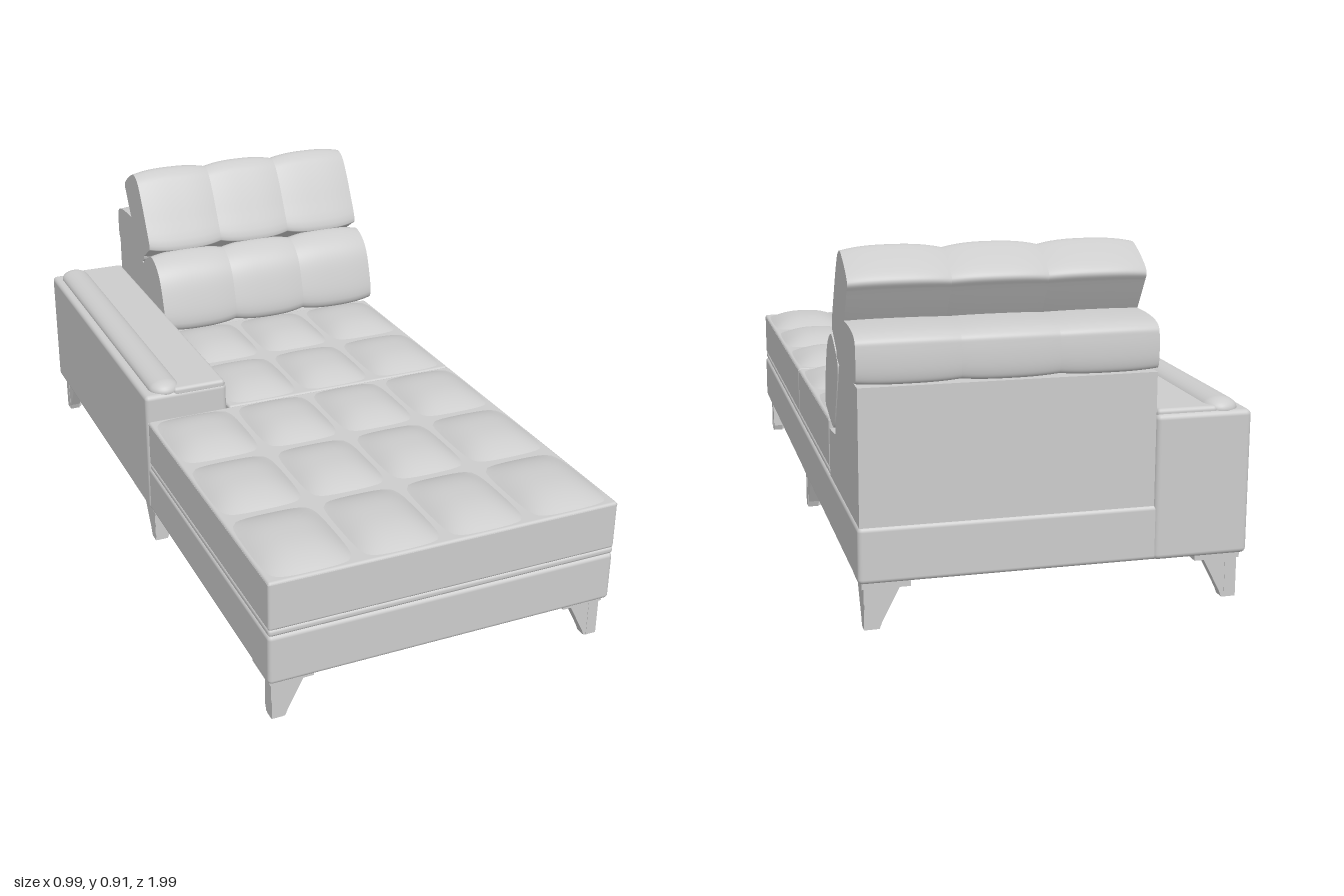
import * as THREE from 'three';
import { RoundedBoxGeometry } from 'three/addons/geometries/RoundedBoxGeometry.js';

const upholstery = new THREE.MeshStandardMaterial({ color: 0xcccccc });
upholstery.name = 'light grey';

const puff = (t) => 1 - Math.abs(2 * t - 1) ** 2.6;

function add(parent, name, geometry) {
  const mesh = new THREE.Mesh(geometry, upholstery);
  mesh.name = name;
  parent.add(mesh);
  return mesh;
}

function group(parent, name) {
  const g = new THREE.Group();
  g.name = name;
  parent.add(g);
  return g;
}

// Rounded box given by its limits on each axis
function block(parent, name, [x0, x1], [y0, y1], [z0, z1], radius = 0.012) {
  const g = new RoundedBoxGeometry(x1 - x0, y1 - y0, z1 - z0, 3, radius);
  g.translate((x0 + x1) / 2, (y0 + y1) / 2, (z0 + z1) / 2);
  return add(parent, name, g);
}

// Puffed top of one stitched square
function tuft(parent, x0, x1, z0, z1) {
  const g = new THREE.PlaneGeometry(x1 - x0, z1 - z0, 16, 16).rotateX(-Math.PI / 2);
  const p = g.attributes.position;
  for (let i = 0; i < p.count; i++) {
    const u = p.getX(i) / (x1 - x0) + 0.5, v = p.getZ(i) / (z1 - z0) + 0.5;
    p.setY(i, 0.412 + 0.038 * puff(u) * puff(v));
  }
  g.translate((x0 + x1) / 2, 0, (z0 + z1) / 2);
  g.computeVertexNormals();
  add(parent, 'seatTuft', g);
}

// Cushion section lofted along x; profile is [z, y], front upwards then back
function cushionSection(profile, x0, x1, squeeze) {
  const curve = new THREE.CatmullRomCurve3(
    profile.map(([z, y]) => new THREE.Vector3(0, y, z)), true, 'centripetal');
  const ring = curve.getPoints(64).slice(0, 64), n = ring.length, steps = 16;
  const c = ring.reduce((s, p) => s.add(p), new THREE.Vector3()).divideScalar(n);
  const pos = [], idx = [];
  const pushRing = (t) => {
    const k = 1 - squeeze * (1 - puff(t));
    for (const p of ring) pos.push(x0 + (x1 - x0) * t, c.y + (p.y - c.y) * k, c.z + (p.z - c.z) * k);
  };
  for (let i = 0; i <= steps; i++) pushRing((1 - Math.cos(Math.PI * i / steps)) / 2);
  for (let i = 0; i < steps; i++) for (let j = 0; j < n; j++) {
    const a = i * n + j, b = i * n + (j + 1) % n;
    idx.push(a, a + n, b, b, a + n, b + n);
  }
  // end caps
  for (const t of [0, 1]) {
    const start = pos.length / 3;
    pushRing(t);
    pos.push(x0 + (x1 - x0) * t, c.y, c.z);
    for (let j = 0; j < n; j++) {
      const a = start + j, b = start + (j + 1) % n;
      idx.push(start + n, t ? b : a, t ? a : b);
    }
  }
  const g = new THREE.BufferGeometry();
  g.setAttribute('position', new THREE.Float32BufferAttribute(pos, 3));
  g.setIndex(idx);
  g.computeVertexNormals();
  return g;
}

function cushion(parent, name, profile, squeeze) {
  const g = group(parent, name), xs = [-0.252, -0.002, 0.24, 0.493];
  for (let i = 0; i < 3; i++) add(g, name + 'Section', cushionSection(profile, xs[i], xs[i + 1], squeeze));
}

// Extruded outline; alongZ turns the outline into the z-y plane
function slab(points, depth, alongZ) {
  const shape = new THREE.Shape(points.map(([a, b]) => new THREE.Vector2(a, b)));
  const g = new THREE.ExtrudeGeometry(shape, { depth, bevelEnabled: false });
  g.translate(0, 0, -depth / 2);
  return alongZ ? g.rotateY(-Math.PI / 2) : g;
}

// Tapered corner leg: two crossed blades under a mounting plate
function leg(parent, sx, z, sz, reach) {
  const g = group(parent, 'leg');
  const blade = (s, top) => [[0, 0], [-s * 0.038, 0], [-s * 0.045, 0.018], [-s * top, 0.106], [0, 0.106]];
  add(g, 'legSideBlade', slab(blade(sx, 0.09), 0.03, false)).position.set(sx * 0.48, 0, z - sz * 0.016);
  add(g, 'legLongBlade', slab(blade(sz, reach), 0.03, true)).position.set(sx * 0.464, 0, z);
  const plate = new THREE.BoxGeometry(0.12, 0.018, 0.115);
  add(g, 'legPlate', plate).position.set(sx * 0.425, 0.113, z - sz * 0.055);
}

export function createModel() {
  const model = new THREE.Group();
  model.name = 'chaiseLounge';

  // Base frame
  block(model, 'base', [-0.495, 0.495], [0.12, 0.262], [-0.99, 0.997], 0.012);

  // Seat: wide front part and narrower part beside the armrest
  const seat = group(model, 'seat');
  const columns = [-0.495, -0.242, 0, 0.24, 0.493];
  const parts = [[0, [0.07, 0.375, 0.68, 0.998]], [1, [-0.54, -0.235, 0.07]]];
  for (const [first, rows] of parts) {
    const xr = [columns[first], 0.493], zr = [rows[0], rows[rows.length - 1]];
    block(seat, 'seatWelt', xr, [0.262, 0.283], zr, 0.009);
    block(seat, 'seatBody', xr, [0.28, 0.418], zr, 0.008);
    for (let i = first; i < 4; i++)
      for (let j = 0; j < rows.length - 1; j++) tuft(seat, columns[i], columns[i + 1], rows[j], rows[j + 1]);
  }

  // Backrest frame with sloping front
  const frame = [[-0.54, 0.262], [-0.54, 0.39], [-0.64, 0.4], [-0.73, 0.602], [-0.99, 0.602], [-0.99, 0.262]];
  add(model, 'backFrame', slab(frame, 0.738, true)).position.x = 0.122;

  // Padded cap on the frame, lower back cushion and tilted headrest
  cushion(model, 'backCap', [[-0.69, 0.62], [-0.7, 0.7], [-0.74, 0.725], [-0.84, 0.735], [-0.96, 0.725],
    [-0.985, 0.71], [-0.99, 0.69], [-0.992, 0.63], [-0.985, 0.608], [-0.97, 0.603], [-0.72, 0.603]], 0.06);
  cushion(model, 'backCushion', [[-0.482, 0.46], [-0.5, 0.54], [-0.53, 0.612], [-0.565, 0.648], [-0.61, 0.668],
    [-0.635, 0.665], [-0.722, 0.612], [-0.728, 0.595], [-0.645, 0.415], [-0.63, 0.403], [-0.51, 0.43], [-0.49, 0.438]], 0.09);
  cushion(model, 'headrest', [[-0.618, 0.67], [-0.66, 0.765], [-0.715, 0.86], [-0.74, 0.89], [-0.775, 0.905],
    [-0.81, 0.895], [-0.885, 0.85], [-0.897, 0.832], [-0.885, 0.81], [-0.79, 0.668], [-0.73, 0.61], [-0.71, 0.612], [-0.635, 0.658]], 0.09);

  // Armrest with top panel and long bolster
  const arm = group(model, 'armrest');
  block(arm, 'armBody', [-0.498, -0.248], [0.12, 0.494], [-0.995, 0.068], 0.014);
  block(arm, 'armTopPanel', [-0.41, -0.252], [0.48, 0.506], [-0.985, 0.066], 0.01);
  const bolster = add(arm, 'armBolster', new THREE.CapsuleGeometry(0.046, 0.96, 8, 24));
  bolster.rotation.x = Math.PI / 2;
  bolster.scale.set(1, 1, 0.6);
  bolster.position.set(-0.428, 0.494, -0.462);

  // Legs and the thin rail between the front pair
  for (const sx of [-1, 1]) {
    leg(model, sx, 0.975, 1, 0.042);
    leg(model, sx, 0.047, 1, 0.1);
    leg(model, sx, -0.975, -1, 0.1);
  }
  const rail = new THREE.BoxGeometry(0.74, 0.018, 0.02);
  add(model, 'frontRail', rail).position.set(0, 0.113, 0.95);

  return model;
}
